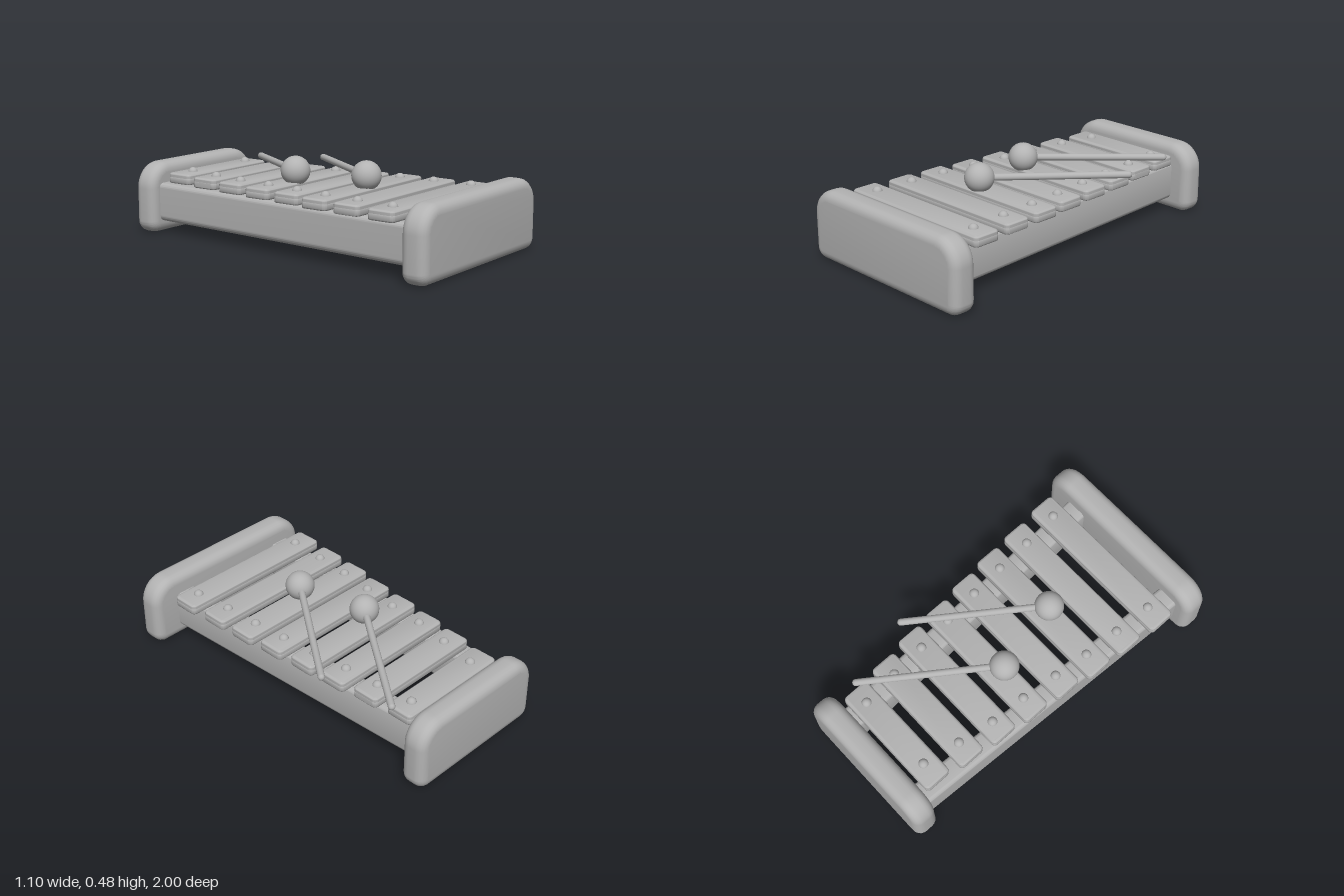
import * as THREE from 'three';
import { toCreasedNormals } from 'three/addons/utils/BufferGeometryUtils.js';

const grey = new THREE.MeshStandardMaterial({ color: 0xb3b3b3 });
grey.name = 'plain grey';

// Rounded rectangle centred on the origin, with separate top and bottom corner radii
function roundedRect(w, h, rTop, rBottom, Type = THREE.Shape) {
  const s = new Type(), x = w / 2, y = h / 2;
  s.moveTo(-x + rBottom, -y);
  s.lineTo(x - rBottom, -y);
  s.absarc(x - rBottom, -y + rBottom, rBottom, -Math.PI / 2, 0);
  s.lineTo(x, y - rTop);
  s.absarc(x - rTop, y - rTop, rTop, 0, Math.PI / 2);
  s.lineTo(-x + rTop, y);
  s.absarc(-x + rTop, y - rTop, rTop, Math.PI / 2, Math.PI);
  s.lineTo(-x, -y + rBottom);
  s.absarc(-x + rBottom, -y + rBottom, rBottom, Math.PI, Math.PI * 1.5);
  return s;
}

// Extrusion of total thickness, centred in z, with softened edges inside the outline
function softExtrude(shape, thickness, bevel) {
  const g = new THREE.ExtrudeGeometry(shape, {
    depth: thickness - 2 * bevel, bevelEnabled: bevel > 0, bevelThickness: bevel,
    bevelSize: bevel, bevelOffset: -bevel, bevelSegments: 5, curveSegments: 8,
  });
  g.translate(0, 0, -thickness / 2 + bevel);
  return g;
}

function addMesh(parent, name, geometry, x = 0, y = 0, z = 0) {
  const m = new THREE.Mesh(geometry, grey);
  m.name = name;
  m.position.set(x, y, z);
  parent.add(m);
  return m;
}

// Side rail, sheared so that it runs inwards towards the back
function railGeometry(xFront, xBack) {
  const g = softExtrude(roundedRect(0.13, 0.215, 0.025, 0.035), 1.8, 0);
  const p = g.attributes.position;
  for (let i = 0; i < p.count; i++) {
    const t = (p.getZ(i) + 0.9) / 1.8;
    p.setX(i, p.getX(i) + THREE.MathUtils.lerp(xBack, xFront, t));
  }
  return toCreasedNormals(g, 0.6);
}

function mallet(name, head, end) {
  const g = new THREE.Group();
  g.name = name;
  const a = new THREE.Vector3(...head), b = new THREE.Vector3(...end);
  addMesh(g, 'malletHead', new THREE.SphereGeometry(0.08, 32, 20), ...head);
  const stick = addMesh(g, 'malletStick', new THREE.CapsuleGeometry(0.019, a.distanceTo(b) - 0.02, 3, 16));
  stick.position.copy(a).lerp(b, 0.5);
  stick.quaternion.setFromUnitVectors(new THREE.Vector3(0, 1, 0), b.clone().sub(a).normalize());
  return g;
}

export function createModel() {
  const model = new THREE.Group();
  model.name = 'xylophone';

  // Upright end blocks
  const block = (w, t) => toCreasedNormals(softExtrude(roundedRect(w, 0.39, 0.14, 0.065), t, 0.05), 0.7);
  addMesh(model, 'frontBlock', block(1.1, 0.145), 0, 0.195, 0.9275);
  addMesh(model, 'backBlock', block(0.86, 0.14), 0, 0.195, -0.93);

  // Converging rails
  addMesh(model, 'rightRail', railGeometry(-0.395, -0.305), 0, 0.172, 0);
  addMesh(model, 'leftRail', railGeometry(0.33, 0.248), 0, 0.172, 0);

  // Tone bars: left edge, right edge, centre z, two pin positions
  const bars = [
    [-0.33, 0.34, -0.757, -0.21, 0.24],
    [-0.36, 0.36, -0.547, -0.25, 0.26],
    [-0.385, 0.385, -0.342, -0.285, 0.275],
    [-0.41, 0.40, -0.135, -0.30, 0.295],
    [-0.43, 0.42, 0.075, -0.325, 0.315],
    [-0.46, 0.44, 0.277, -0.35, 0.33],
    [-0.475, 0.45, 0.487, -0.365, 0.34],
    [-0.495, 0.465, 0.707, -0.38, 0.36],
  ];
  const pin = new THREE.SphereGeometry(0.027, 20, 12);
  bars.forEach(([x0, x1, z, p0, p1], i) => {
    const bar = new THREE.Group();
    bar.name = 'toneBar' + (i + 1);
    const w = x1 - x0, d = 0.158, cx = (x0 + x1) / 2;
    // Solid top over a rim, leaving the underside hollow
    const top = softExtrude(roundedRect(w, d, 0.025, 0.025), 0.034, 0.014).rotateX(-Math.PI / 2);
    addMesh(bar, 'barTop', toCreasedNormals(top, 0.7), cx, 0.32, z);
    const ring = roundedRect(w, d, 0.025, 0.025);
    ring.holes.push(roundedRect(w - 0.05, d - 0.05, 0.012, 0.012, THREE.Path));
    const rim = softExtrude(ring, 0.04, 0.008).rotateX(-Math.PI / 2);
    addMesh(bar, 'barRim', toCreasedNormals(rim, 0.7), cx, 0.3, z);
    for (const x of [p0, p1]) addMesh(bar, 'barPin', pin, x, 0.333, z);
    model.add(bar);
  });

  // Two mallets lying across the bars
  model.add(mallet('backMallet', [-0.115, 0.395, -0.1], [0.362, 0.357, -0.738]));
  model.add(mallet('frontMallet', [-0.03, 0.398, 0.305], [0.452, 0.374, -0.343]));

  return model;
}
